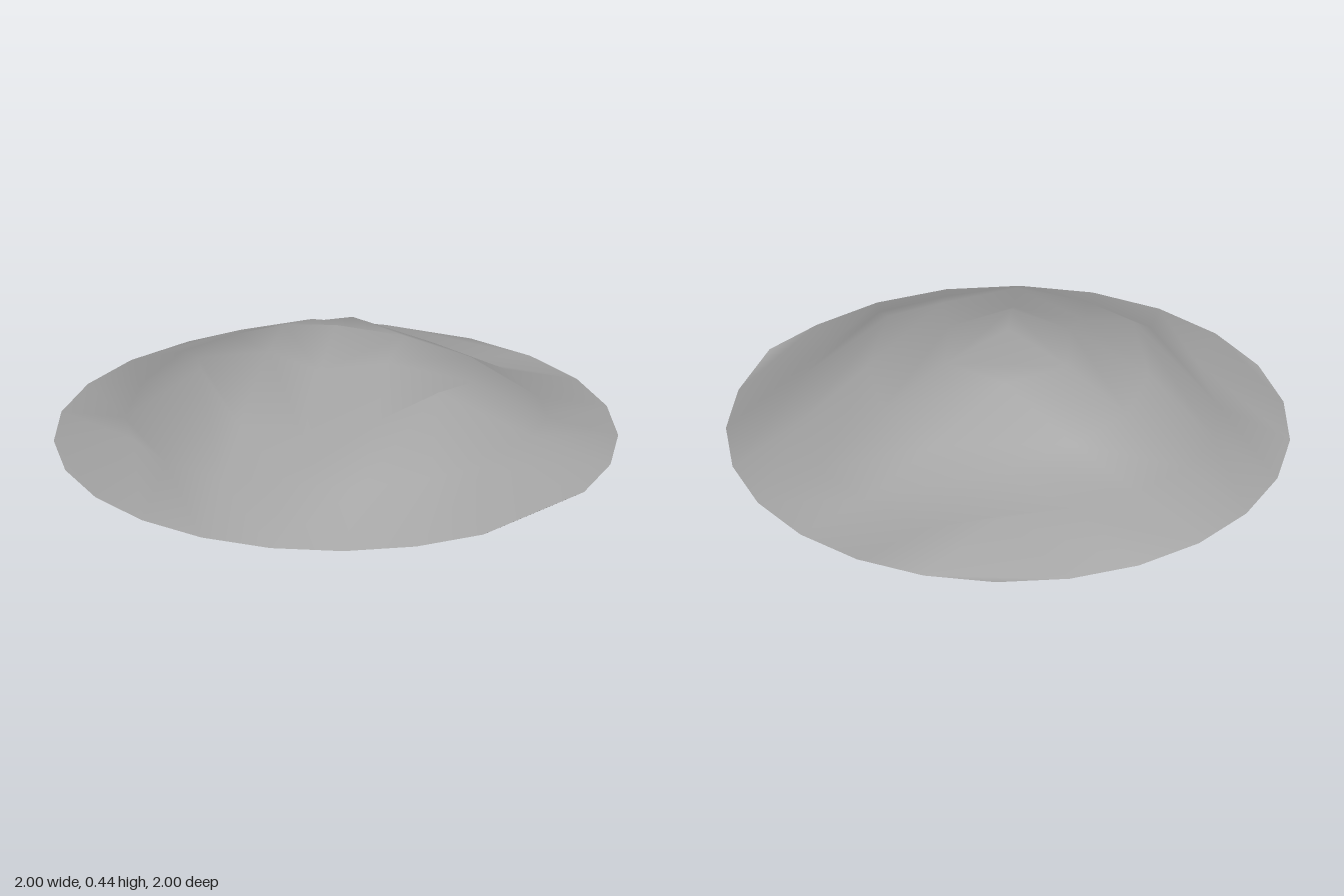
import * as THREE from 'three';

// Heights around each ring, starting at the front and turning towards +x
const RINGS = [
  [0.437],
  [0.365, 0.365, 0.365, 0.362, 0.365, 0.365],
  [0.22, 0.272, 0.326, 0.268, 0.25, 0.21, 0.157, 0.232, 0.25, 0.26, 0.326, 0.215],
  [0.145, 0.13, 0.14, 0.12, 0.14, 0.1, 0.065, 0.07, 0.035,
    0.118, 0.134, 0.125, 0.11, 0.08, 0.06, 0.09, 0.1, 0.12],
  Array.from({ length: 24 }, (_, n) => (n === 4 ? 0.022 : 0)),
];
const N = 4;

export function createModel() {
  const group = new THREE.Group();
  group.name = 'hill';
  const earth = new THREE.MeshStandardMaterial({ color: 0xa3a3a3, side: THREE.DoubleSide });
  earth.name = 'grey earth';

  // Concentric rings of 1, 6, 12, 18 and 24 points
  const positions = [];
  const start = [];
  RINGS.forEach((heights, k) => {
    start.push(positions.length / 3);
    heights.forEach((y, n) => {
      const a = (n / heights.length) * Math.PI * 2;
      positions.push((k / N) * Math.sin(a), y, (k / N) * Math.cos(a));
    });
  });

  // Three diamond patches meet at the summit; each is a grid of split squares
  const indices = [];
  for (let sector = 0; sector < 3; sector++) {
    const point = (i, j) => {
      const k = Math.max(i, j);
      if (k === 0) return 0;
      const n = sector * 2 * k + (i === k ? j : 2 * k - i);
      return start[k] + (n % (6 * k));
    };
    for (let i = 0; i < N; i++) {
      for (let j = 0; j < N; j++) {
        const a = point(i, j), b = point(i + 1, j);
        const c = point(i + 1, j + 1), d = point(i, j + 1);
        indices.push(a, b, d, b, c, d);
      }
    }
  }

  const geometry = new THREE.BufferGeometry();
  geometry.setAttribute('position', new THREE.Float32BufferAttribute(positions, 3));
  geometry.setIndex(indices);
  geometry.computeVertexNormals();

  const mound = new THREE.Mesh(geometry, earth);
  mound.name = 'mound';
  group.add(mound);
  return group;
}
